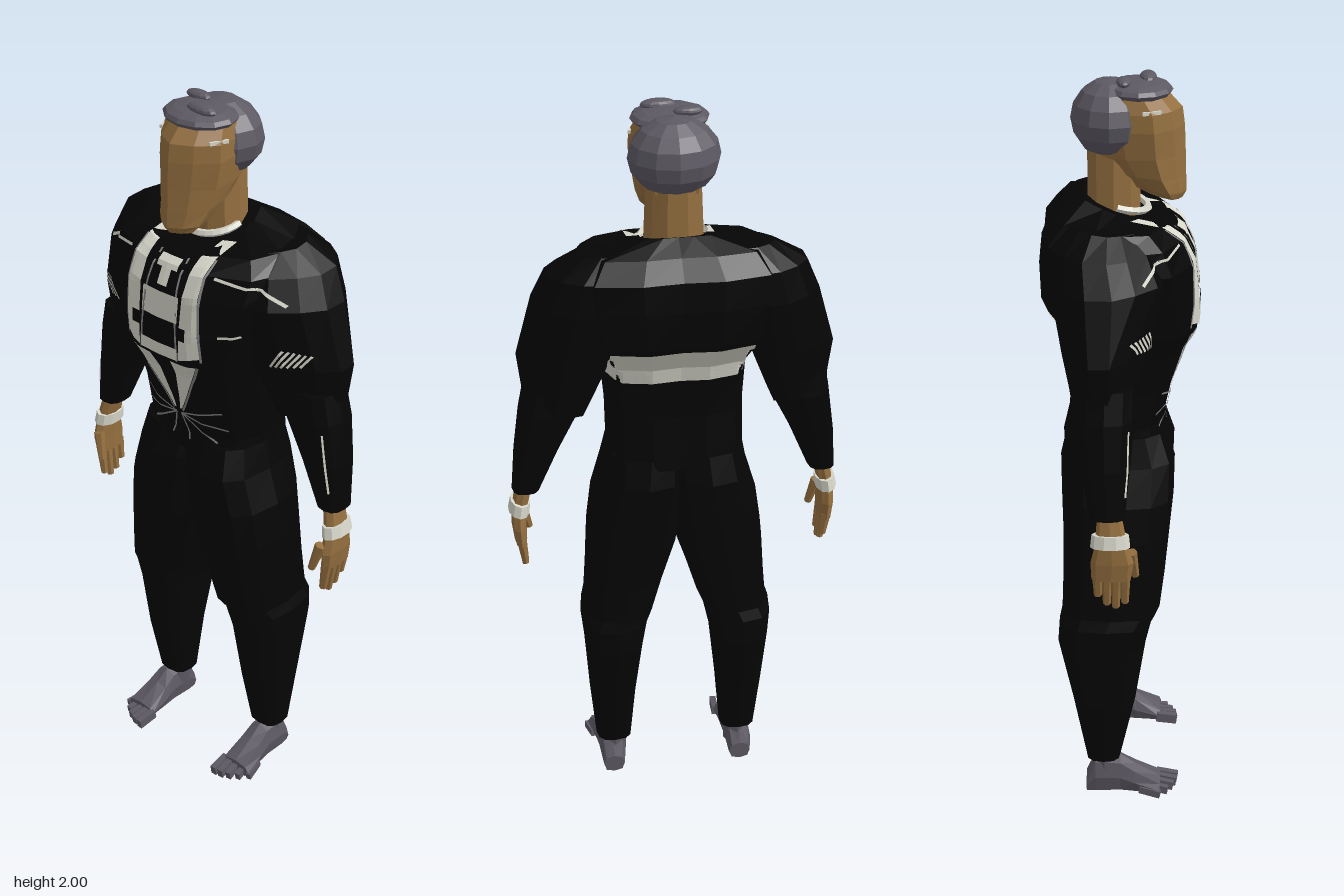
import * as THREE from 'three';

export function createModel() {
  const model = new THREE.Group();
  const material = (name, color) => new THREE.MeshStandardMaterial({
    name, color, flatShading: true, side: THREE.DoubleSide });
  const black = material('black cloth', 0x050505);
  const cream = material('cream trim', 0xd9d8cc);
  const grey = material('grey piping', 0x858585);
  const skin = material('brown skin', 0x946f3f);
  const slate = material('slate hair and feet', 0x5d5963);

  const add = (name, geometry, mat, x = 0, y = 0, z = 0) => {
    const mesh = new THREE.Mesh(geometry, mat);
    mesh.name = name;
    mesh.position.set(x, y, z);
    model.add(mesh);
    return mesh;
  };

  // Unit outline with squared-off corners, running from +x towards +z
  const outline = (n, power) => Array.from({ length: n }, (_, i) => {
    const a = (i / n) * Math.PI * 2;
    const f = (v) => Math.sign(v) * Math.abs(v) ** power;
    return [f(Math.cos(a)), f(Math.sin(a))];
  });

  // Skin over rings [y, x0, x1, zBack, zFront, tilt], listed bottom to top
  const loft = (rings, profile) => {
    const n = profile.length, points = [], index = [];
    for (const [y, x0, x1, z0, z1, tilt = 0] of rings)
      for (const [u, v] of profile)
        points.push((x0 + x1) / 2 + u * (x1 - x0) / 2, y - v * tilt, (z0 + z1) / 2 + v * (z1 - z0) / 2);
    for (let j = 0; j < rings.length - 1; j++)
      for (let i = 0; i < n; i++) {
        const a = j * n + i, b = j * n + (i + 1) % n;
        index.push(a, a + n, b, b, a + n, b + n);
      }
    const top = (rings.length - 1) * n;
    for (let i = 1; i < n - 1; i++) index.push(0, i, i + 1, top, top + i + 1, top + i);
    const g = new THREE.BufferGeometry();
    g.setAttribute('position', new THREE.Float32BufferAttribute(points, 3));
    g.setIndex(index);
    g.computeVertexNormals();
    return g;
  };
  const mirrorRings = (rings, s) => rings.map(([y, a, b, ...rest]) =>
    s > 0 ? [y, a, b, ...rest] : [y, -b, -a, ...rest]);
  const mirrorOutline = (pts, s) => s > 0 ? pts : pts.map(([u, v]) => [-u, v]).reverse();
  const soft = outline(12, 0.75);

  // Jacket body: broad flat back with a shallow spine groove
  const half = [[1, 0.15], [0.83, 0.7], [0.42, 0.97]];
  const backHalf = [[0.82, -0.88], [0.38, -1], [0, -0.96]];
  const bodyOutline = [...half, [0, 1], ...mirrorOutline(half, -1),
    [-1, -0.3], [-0.82, -0.88], [-0.38, -1], ...[...backHalf].reverse(), [1, -0.3]];
  const torso = add('jacketBody', loft([
    [1.05, 0.18, 0.125, -0.145], [1.1, 0.18, 0.112, -0.14], [1.2, 0.18, 0.133, -0.13],
    [1.3, 0.188, 0.165, -0.135], [1.36, 0.205, 0.2, -0.15], [1.44, 0.24, 0.2, -0.205],
    [1.54, 0.265, 0.188, -0.208], [1.61, 0.268, 0.158, -0.2, 0.008],
    [1.65, 0.23, 0.11, -0.155, 0.016], [1.668, 0.1, 0.055, -0.1, 0.03],
  ].map(([y, x, f, b, t]) => [y, -x, x, b, f, t]), bodyOutline), black);
  const cloth = [torso];

  // Upper sleeve is deep beside the chest and narrows outwards
  const wedge = [[1, -0.35], [1, 0.1], [0.6, 0.48], [0, 0.85], [-0.6, 1], [-1, 0.9],
    [-1, -0.9], [-0.5, -1], [0, -0.95], [0.6, -0.7]];

  for (const s of [1, -1]) {
    const side = s > 0 ? 'left' : 'right';
    // Sleeve and trouser leg
    cloth.push(add(side + 'UpperSleeve', loft(mirrorRings([
      [1.22, 0.25, 0.4, -0.12, 0.04], [1.28, 0.225, 0.4, -0.13, 0.055],
      [1.37, 0.19, 0.41, -0.15, 0.08], [1.53, 0.17, 0.365, -0.18, 0.115],
      [1.61, 0.16, 0.33, -0.175, 0.085, 0.008], [1.655, 0.14, 0.25, -0.125, 0.045, 0.012]], s),
    mirrorOutline(wedge, s)), black));
    cloth.push(add(side + 'Forearm', loft(mirrorRings([
      [0.97, 0.365, 0.438, -0.075, 0.015], [1.1, 0.31, 0.428, -0.1, 0.028],
      [1.22, 0.25, 0.412, -0.115, 0.04], [1.3, 0.23, 0.395, -0.11, 0.04]], s), soft), black));
    add(side + 'TrouserLeg', loft(mirrorRings([
      [0.12, 0.13, 0.23, -0.095, 0], [0.3, 0.115, 0.246, -0.13, 0.04],
      [0.48, 0.095, 0.258, -0.17, 0.068], [0.55, 0.08, 0.265, -0.165, 0.085],
      [0.58, 0.065, 0.255, -0.158, 0.105], [0.68, 0.035, 0.248, -0.155, 0.118],
      [0.8, -0.005, 0.242, -0.155, 0.13], [0.9, -0.02, 0.228, -0.158, 0.14],
      [1, -0.03, 0.198, -0.16, 0.142], [1.08, -0.03, 0.182, -0.142, 0.115]], s), soft), black);

    // Foot, lofted from heel to toes and laid forward
    const foot = loft([
      [-0.095, -0.03, 0.03, -0.06, -0.005], [-0.07, -0.036, 0.036, -0.12, 0],
      [0, -0.036, 0.038, -0.118, -0.005], [0.04, -0.04, 0.044, -0.09, -0.008],
      [0.11, -0.044, 0.054, -0.052, -0.01]], outline(8, 0.75));
    foot.rotateX(Math.PI / 2);
    foot.scale(s, 1, 1);
    if (s < 0) foot.index.array.reverse();
    add(side + 'Foot', foot, slate, s * 0.185);
    add(side + 'Ankle', new THREE.CylinderGeometry(0.038, 0.036, 0.1, 8), slate, s * 0.18, 0.1, -0.045);
    for (let i = 0; i < 5; i++) {
      const toe = add(side + 'Toe', new THREE.BoxGeometry(0.018 - i * 0.001, 0.028 - i * 0.002, 0.06),
        slate, s * (0.148 + i * 0.0215), 0.026, 0.13 - i * i * 0.003);
      toe.rotation.set(0.15, s * (0.06 + i * 0.04), 0);
    }

    // Wrist, palm, fingers and thumb
    add(side + 'Hand', loft(mirrorRings([
      [0.8, 0.402, 0.436, -0.07, 0.03], [0.85, 0.402, 0.442, -0.072, 0.038],
      [0.9, 0.4, 0.442, -0.06, 0.022], [0.98, 0.38, 0.426, -0.055, 0.005]], s), outline(8, 0.8)), skin);
    for (let i = 0; i < 4; i++) {
      const length = [0.085, 0.1, 0.09, 0.065][i];
      const finger = add(side + 'Finger', new THREE.CylinderGeometry(0.015, 0.01, length, 6), skin,
        s * 0.415, 0.815 - length / 2, 0.015 - i * 0.023);
      finger.rotation.z = -s * 0.12;
    }
    const thumb = add(side + 'Thumb', new THREE.CylinderGeometry(0.016, 0.01, 0.08, 6), skin, s * 0.4, 0.835, 0.036);
    thumb.rotation.set(-0.15, 0, -s * 0.25);
    const band = add(side + 'Wristband', new THREE.CylinderGeometry(0.027, 0.029, 0.034, 10), cream,
      s * 0.419, 0.91, -0.022);
    band.scale.z = 1.75;
    band.rotation.z = s * 0.15;
  }

  // Neck, head with a rising jaw line, and collar
  add('neck', loft([[1.6, -0.08, 0.08, -0.09, 0.05], [1.69, -0.076, 0.076, -0.09, 0.05],
    [1.83, -0.07, 0.07, -0.09, 0.05]], outline(10, 0.9)), skin);
  add('head', loft([[1.69, 0.05, 0.07, 0.155, 0.008], [1.71, 0.066, 0.03, 0.164, 0.012],
    [1.75, 0.08, -0.03, 0.163, 0.012], [1.8, 0.09, -0.07, 0.161], [1.87, 0.1, -0.08, 0.158],
    [1.915, 0.098, -0.08, 0.152], [1.95, 0.085, -0.08, 0.12]].map(([y, x, b, f, t]) => [y, -x, x, b, f, t]),
  [[0.93, -0.3], [1, 0.35], [0.55, 0.76], [0, 1], [-0.55, 0.76], [-1, 0.35], [-0.93, -0.3], [-0.6, -1], [0.6, -1]]), skin);
  const collar = add('collar', new THREE.TorusGeometry(0.08, 0.01, 5, 14, Math.PI), cream, 0, 1.675, -0.01);
  collar.rotation.x = Math.PI / 2 + 0.25;

  // Hair: round back, flat front crown and two loose locks
  const blob = (name, x, y, z, sx, sy, sz) =>
    add(name, new THREE.SphereGeometry(1, 12, 8), slate, x, y, z).scale.set(sx, sy, sz);
  blob('hairBack', 0, 1.887, -0.03, 0.117, 0.1, 0.1);
  blob('hairCrown', 0, 1.96, 0.042, 0.1, 0.026, 0.086);
  blob('hairLock', -0.04, 1.986, 0.005, 0.038, 0.012, 0.019);
  blob('hairLock', 0.025, 1.984, 0.065, 0.046, 0.014, 0.022);
  for (const s of [1, -1]) {
    const stripe = add('templeStripe', new THREE.BoxGeometry(0.006, 0.009, 0.05), cream, s * 0.09, 1.92, 0.075);
    stripe.rotation.y = -s * 0.4;
  }

  // Trim patches laid on the cloth by projecting a small grid along z
  const ray = new THREE.Raycaster();
  cloth.forEach((m) => m.updateMatrixWorld(true));
  const depth = (x, y, dir) => {
    ray.set(new THREE.Vector3(x, y, 2 * dir), new THREE.Vector3(0, 0, -dir));
    const hit = ray.intersectObjects(cloth, false)[0];
    return (hit ? hit.point.z : 0) + 0.005 * dir;
  };
  const patch = (name, mat, [a, b, c, d], nu = 4, nv = 4, dir = 1) => {
    const g = new THREE.PlaneGeometry(1, 1, nu, nv), p = g.attributes.position;
    for (let i = 0; i < p.count; i++) {
      const u = p.getX(i) + 0.5, v = p.getY(i) + 0.5;
      const mix = (k) => (a[k] * (1 - u) + b[k] * u) * (1 - v) + (d[k] * (1 - u) + c[k] * u) * v;
      const x = mix(0), y = mix(1);
      p.setXYZ(i, x, y, depth(x, y, dir));
    }
    g.computeVertexNormals();
    return add(name, g, mat);
  };
  const rect = (name, mat, x0, x1, y0, y1, nu, nv, dir) =>
    patch(name, mat, [[x0, y0], [x1, y0], [x1, y1], [x0, y1]], nu, nv, dir);
  const line = (name, mat, x0, y0, x1, y1, w = 0.006) => {
    const l = Math.hypot(x1 - x0, y1 - y0), nx = -(y1 - y0) / l * w / 2, ny = (x1 - x0) / l * w / 2;
    patch(name, mat, [[x0 - nx, y0 - ny], [x1 - nx, y1 - ny], [x1 + nx, y1 + ny], [x0 + nx, y0 + ny]], 8, 1);
  };

  // Chest bands and back panel
  rect('chestBand', cream, -0.06, 0.06, 1.465, 1.535, 8, 4);
  rect('chestLowerBand', cream, -0.062, 0.062, 1.362, 1.395, 8, 4);
  rect('throatTab', cream, -0.034, 0.034, 1.59, 1.615, 4, 2);
  rect('throatTabStem', cream, -0.016, 0.016, 1.55, 1.59, 2, 3);
  rect('backPanel', cream, -0.185, 0.185, 1.315, 1.425, 20, 10, -1);

  for (const s of [1, -1]) {
    const m = (pts) => pts.map(([x, y]) => [s * x, y]);
    // Lapels and tapering lower points
    patch('lapel', cream, m([[0.066, 1.365], [0.122, 1.38], [0.113, 1.65], [0.073, 1.645]]), 4, 16);
    patch('lapelBlock', black, m([[0.064, 1.425], [0.09, 1.425], [0.09, 1.46], [0.064, 1.46]]), 2, 2).position.z = 0.003;
    patch('lapelPoint', cream, m([[0.006, 1.17], [0.012, 1.17], [0.108, 1.35], [0.035, 1.35]]), 4, 10);
    line('lapelPiping', grey, s * 0.062, 1.36, s * 0.045, 1.62);
    line('lapelEdge', grey, s * 0.125, 1.37, s * 0.117, 1.63);
    line('lapelPointEdge', grey, s * 0.112, 1.35, s * 0.015, 1.165);
    // Rays spreading from the waist
    for (const [x, y] of [[0.13, 1.19], [0.14, 1.135], [0.11, 1.09], [0.03, 1.08]])
      line('waistRay', grey, s * 0.008, 1.155, s * x, y, 0.005);
    // Shoulder stripe, sleeve hatching and cuff stripe
    line('shoulderStripe', cream, s * 0.3, 1.545, s * 0.23, 1.585, 0.007);
    line('shoulderStripe', cream, s * 0.23, 1.585, s * 0.14, 1.6, 0.007);
    for (let i = 0; i < 6; i++)
      line('sleeveHatch', cream, s * (0.265 + i * 0.014), 1.372 + i * 0.002, s * (0.298 + i * 0.012), 1.425 - i * 0.002, 0.006);
    line('cuffStripe', cream, s * 0.395, 1.2, s * 0.418, 1.03, 0.004);
  }
  line('pocketStripe', cream, 0.165, 1.45, 0.21, 1.455, 0.007);
  return model;
}
